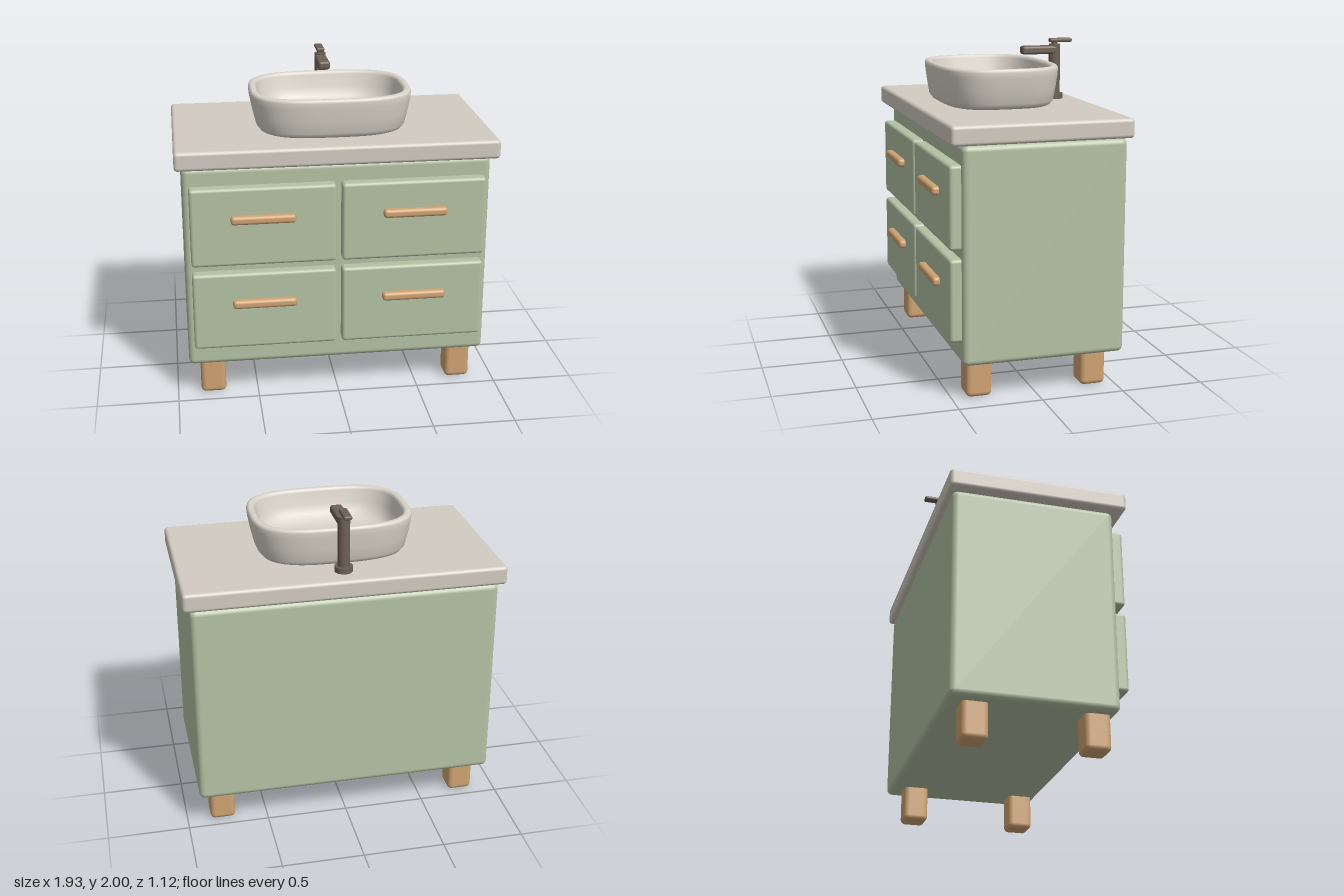
import * as THREE from 'three';
import { RoundedBoxGeometry } from 'three/addons/geometries/RoundedBoxGeometry.js';

const mat = (name, color) => Object.assign(new THREE.MeshStandardMaterial({ color }), { name });

// Box given by its low and high limits on each axis, with rounded edges
function roundedBox(name, material, [x0, x1], [y0, y1], [z0, z1], radius) {
  const mesh = new THREE.Mesh(new RoundedBoxGeometry(x1 - x0, y1 - y0, z1 - z0, 4, radius), material);
  mesh.position.set((x0 + x1) / 2, (y0 + y1) / 2, (z0 + z1) / 2);
  mesh.name = name;
  return mesh;
}

function cylinder(name, material, radius, y0, y1, z) {
  const mesh = new THREE.Mesh(new THREE.CylinderGeometry(radius, radius, y1 - y0, 32), material);
  mesh.position.set(0, (y0 + y1) / 2, z);
  mesh.name = name;
  return mesh;
}

// Skin over rounded-rectangle rings, each [half width, half depth, height]
function ringSkin(rings, power, segments) {
  const positions = [], index = [];
  rings.forEach(([a, b, y], i) => {
    for (let j = 0; j < segments; j++) {
      const t = (j / segments) * Math.PI * 2, c = Math.cos(t), s = Math.sin(t);
      const r = (Math.abs(c) ** power + Math.abs(s) ** power) ** (-1 / power);
      positions.push(a * r * c, y, b * r * s);
      if (i === rings.length - 1) continue;
      const k = (j + 1) % segments, p = i * segments, q = p + segments;
      index.push(p + j, q + j, p + k, p + k, q + j, q + k);
    }
  });
  const geometry = new THREE.BufferGeometry();
  geometry.setAttribute('position', new THREE.Float32BufferAttribute(positions, 3));
  geometry.setIndex(index);
  geometry.computeVertexNormals();
  return geometry;
}

export function createModel() {
  const model = new THREE.Group();
  model.name = 'bathroomVanity';
  const green = mat('sage green paint', 0xb4c2a4);
  const wood = mat('light wood', 0xcfa373);
  const stone = mat('stone counter', 0xd2cbc0);
  const ceramic = mat('basin ceramic', 0xd8d3c8);
  const bronze = mat('dark bronze', 0x6e6156);
  const slotDark = mat('drain slot', 0x3a3632);

  // Cabinet and countertop
  model.add(roundedBox('cabinet', green, [-0.925, 0.925], [0.22, 1.5], [-0.53, 0.45], 0.035));
  model.add(roundedBox('countertop', stone, [-0.965, 0.965], [1.505, 1.62], [-0.555, 0.525], 0.022));

  for (const side of [-1, 1]) {
    const span = (a, b) => (side > 0 ? [a, b] : [-b, -a]);
    // Drawer fronts with bar handles
    for (const y of [0.36, 0.9]) {
      model.add(roundedBox('drawerFront', green, span(0.018, 0.887), [y, y + 0.488], [0.42, 0.518], 0.02));
      model.add(roundedBox('drawerHandle', wood, span(0.262, 0.648), [y + 0.272, y + 0.325], [0.505, 0.56], 0.02));
    }
    // Legs
    for (const z of [0.337, -0.367]) {
      model.add(roundedBox('leg', wood, span(0.7, 0.855), [0.005, 0.25], [z - 0.077, z + 0.077], 0.03));
    }
  }

  // Vessel basin: outside wall, rim, then the bowl
  const rings = [
    [0, 0, 1.618], [0.41, 0.305, 1.618], [0.437, 0.328, 1.63], [0.455, 0.346, 1.655],
    [0.474, 0.358, 1.735], [0.488, 0.367, 1.81], [0.491, 0.37, 1.845], [0.486, 0.366, 1.859],
    [0.476, 0.356, 1.865], [0.458, 0.338, 1.865], [0.447, 0.327, 1.859], [0.441, 0.321, 1.845],
    [0.425, 0.306, 1.77], [0.405, 0.285, 1.715], [0.37, 0.255, 1.683], [0.3, 0.2, 1.665], [0, 0, 1.66],
  ];
  const basin = new THREE.Mesh(ringSkin(rings, 3.2, 96), ceramic);
  basin.name = 'basin';
  basin.position.z = 0.023;
  model.add(basin);

  // Drain with three slots
  model.add(cylinder('drain', ceramic, 0.052, 1.655, 1.67, 0.018));
  for (const z of [-0.003, 0.018, 0.039]) {
    model.add(roundedBox('drainSlot', slotDark, [-0.03, 0.03], [1.667, 1.672], [z - 0.003, z + 0.003], 0.001));
  }

  // Tap: foot, column, spout, stem and lever
  model.add(cylinder('tapFoot', bronze, 0.054, 1.615, 1.655, -0.403));
  model.add(cylinder('tapColumn', bronze, 0.036, 1.62, 1.963, -0.403));
  model.add(roundedBox('tapSpout', bronze, [-0.037, 0.037], [1.903, 1.955], [-0.42, -0.182], 0.016));
  model.add(cylinder('tapStem', bronze, 0.018, 1.95, 1.985, -0.403));
  model.add(roundedBox('tapLever', bronze, [-0.025, 0.025], [1.975, 2], [-0.513, -0.367], 0.01));

  return model;
}
